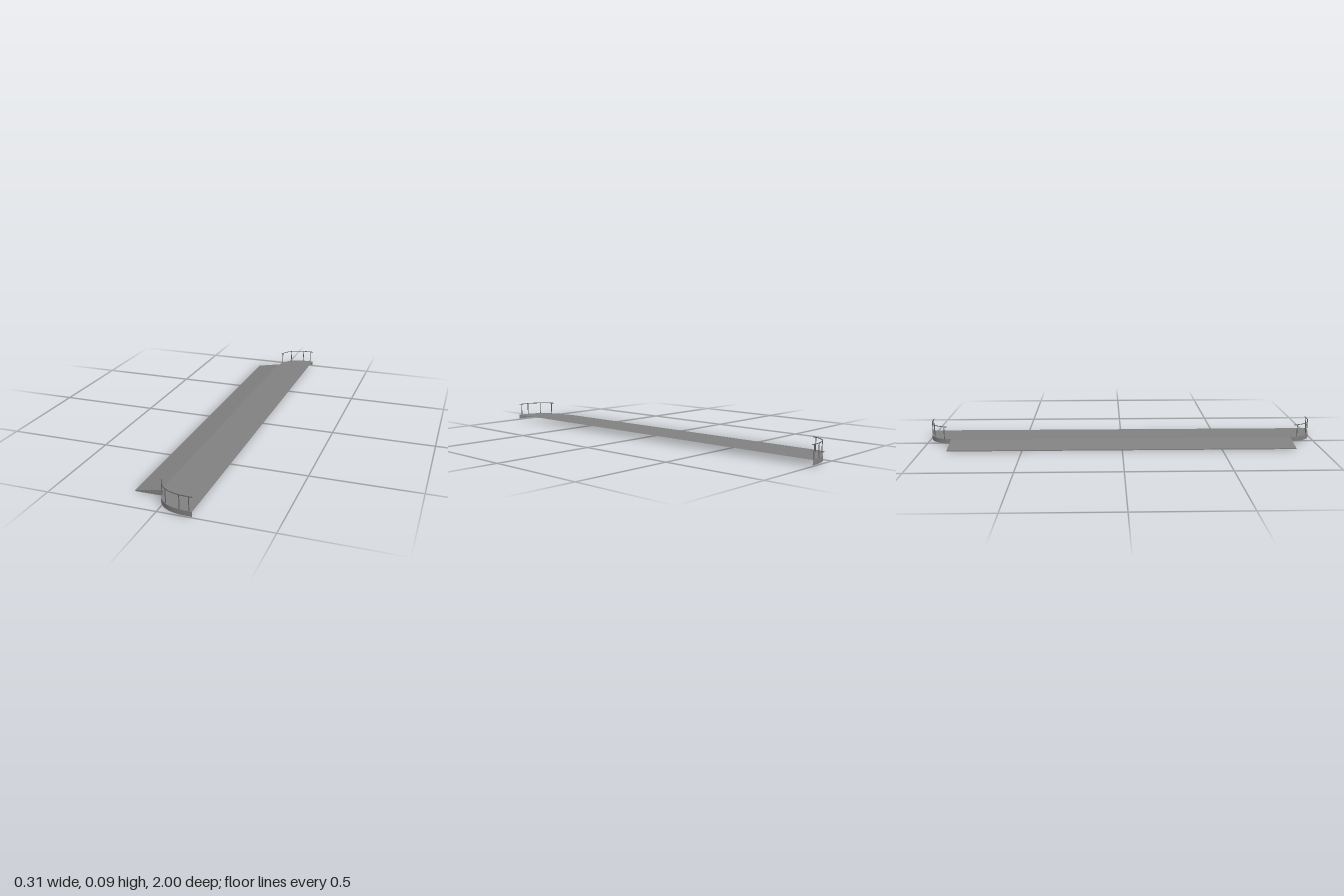
import * as THREE from 'three';

const TOP = 0.027, BOTTOM = 0.004, RAIL_Y = 0.09, RAMP_Z = 0.873;

// Ruled sheet between two equally long rows of points
function sheet(rowA, rowB, material, name, flat = false) {
  const n = rowA.length, index = [];
  for (let i = 0; i < n - 1; i++) index.push(i, i + 1, n + i, i + 1, n + i + 1, n + i);
  let geometry = new THREE.BufferGeometry().setFromPoints([...rowA, ...rowB]);
  geometry.setIndex(index);
  if (flat) geometry = geometry.toNonIndexed();
  geometry.computeVertexNormals();
  const mesh = new THREE.Mesh(geometry, material);
  mesh.name = name;
  return mesh;
}

export function createModel() {
  const group = new THREE.Group();
  group.name = 'platformWithRamp';
  const concrete = new THREE.MeshStandardMaterial({ color: 0x808080, side: THREE.DoubleSide });
  concrete.name = 'concrete grey';
  const metal = new THREE.MeshStandardMaterial({ color: 0x606060 });
  metal.name = 'rail grey';

  // Rounded platform end, as seen from above
  const endCurve = new THREE.CatmullRomCurve3([
    [-0.025, 0.873], [-0.019, 0.908], [0, 0.946], [0.037, 0.978], [0.09, 0.996], [0.155, 1],
  ].map(([x, z]) => new THREE.Vector3(x, 0, z)));
  const plan = endCurve.getPoints(20);
  const row = (y, side) => plan.map(p => new THREE.Vector3(p.x, y, p.z * side));

  // Deck sheet and the wall along the ramp
  group.add(sheet(row(TOP, 1), row(TOP, -1), concrete, 'deck'));
  const edge = y => [-RAMP_Z, RAMP_Z].map(z => new THREE.Vector3(-0.025, y, z));
  group.add(sheet(edge(TOP), edge(BOTTOM), concrete, 'backWall'));

  // Hollow ramp: lip, slope and level strip
  const profile = [[-0.156, 0], [-0.156, 0.005], [-0.035, TOP], [-0.025, TOP]];
  const rampRow = (z, floor) => profile.map(([x, y]) => new THREE.Vector3(x, floor ? 0 : y, z));
  group.add(sheet(rampRow(RAMP_Z), rampRow(-RAMP_Z), concrete, 'ramp', true));

  for (const side of [1, -1]) {
    // Curved end wall and ramp cheek
    const rows = [row(TOP, side), row(BOTTOM, side)];
    if (side > 0) rows.reverse();
    group.add(sheet(rows[0], rows[1], concrete, 'endWall'));
    const cheek = [rampRow(side * RAMP_Z).slice(1), rampRow(side * RAMP_Z, true).slice(1)];
    if (side > 0) cheek.reverse();
    group.add(sheet(cheek[0], cheek[1], concrete, 'rampCheek'));

    // Handrail following the rounded end
    const railing = new THREE.Group();
    railing.name = 'railing';
    const path = new THREE.CatmullRomCurve3([
      [-0.02, 0.895], [-0.014, 0.912], [0.002, 0.942], [0.038, 0.974], [0.09, 0.992], [0.155, 0.996],
    ].map(([x, z]) => new THREE.Vector3(x, RAIL_Y, z * side)));
    const rail = new THREE.Mesh(new THREE.TubeGeometry(path, 24, 0.002, 8), metal);
    rail.name = 'handrail';
    railing.add(rail);

    // Rail end caps
    for (const t of [0, 1]) {
      const cap = new THREE.Mesh(new THREE.CircleGeometry(0.002, 8), metal);
      cap.name = 'railCap';
      cap.position.copy(path.getPoint(t));
      const out = path.getTangent(t).multiplyScalar(t ? 1 : -1);
      cap.quaternion.setFromUnitVectors(new THREE.Vector3(0, 0, 1), out);
      railing.add(cap);
    }

    // Posts
    for (const [x, z] of [[-0.015, 0.91], [0.026, 0.966], [0.097, 0.993], [0.14, 0.996]]) {
      const post = new THREE.Mesh(new THREE.CylinderGeometry(0.002, 0.002, RAIL_Y - TOP, 8), metal);
      post.name = 'post';
      post.position.set(x, (RAIL_Y + TOP) / 2, z * side);
      railing.add(post);
    }
    group.add(railing);
  }
  return group;
}
